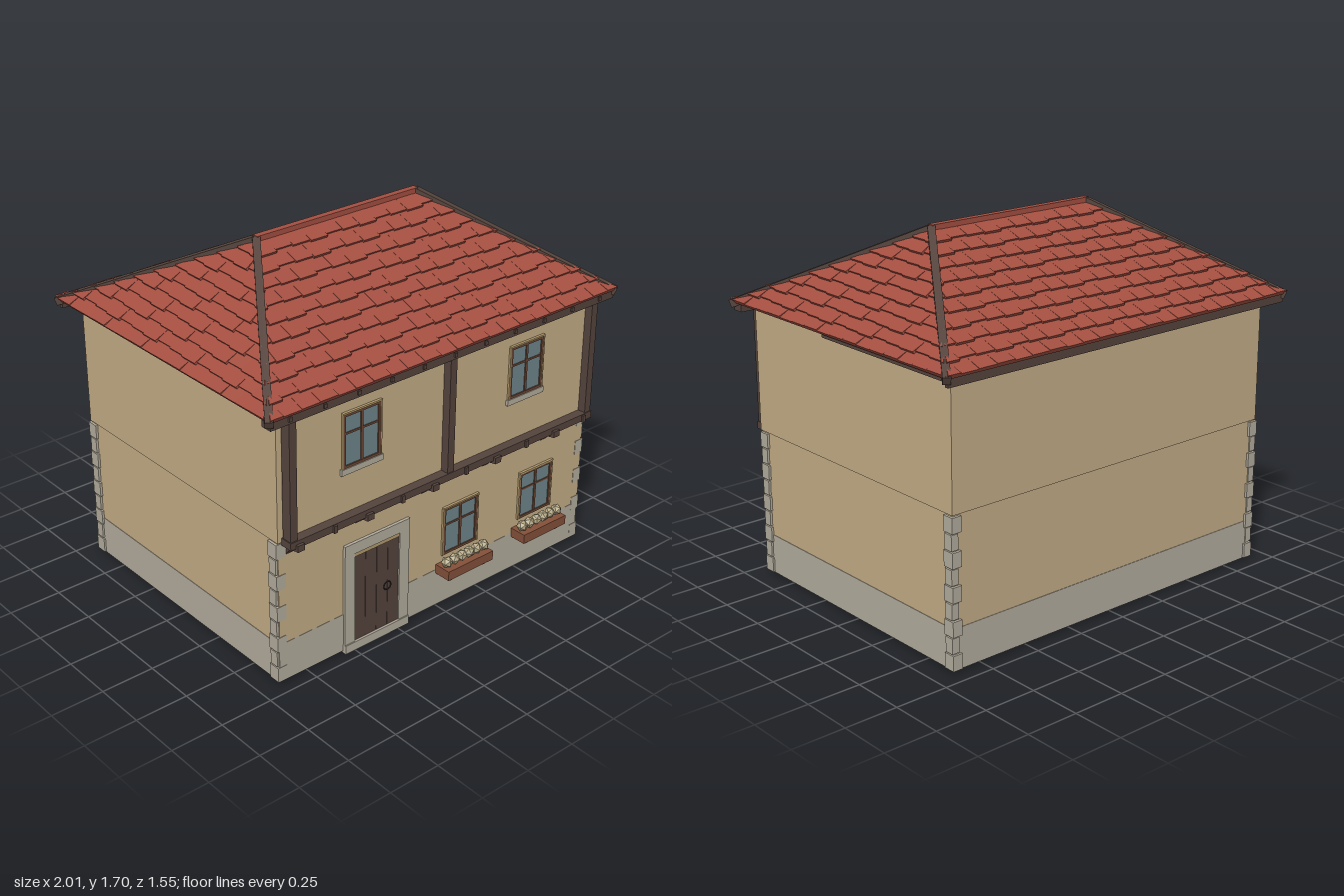
import * as THREE from 'three';
import { mergeGeometries } from 'three/addons/utils/BufferGeometryUtils.js';

const mat = (name, color) => {
  const m = new THREE.MeshStandardMaterial({ color });
  m.name = name;
  return m;
};

export function createModel() {
  const M = {
    plaster: mat('plaster', 0xc4ad86),
    stone: mat('stone', 0xb4ad9e),
    timber: mat('dark timber', 0x55443d),
    tile: mat('roof tile', 0xa44f41),
    glass: mat('window glass', 0x6f868d),
    frame: mat('window frame', 0x6a4633),
    trim: mat('pale trim', 0xb39a6c),
    planter: mat('planter wood', 0x84503a),
    flower: mat('flowers', 0xb9ad8a),
    iron: mat('iron', 0x2e2927),
  };
  const house = new THREE.Group();
  house.name = 'house';

  const mesh = (name, geo, m, parent = house) => {
    const o = new THREE.Mesh(geo, m);
    o.name = name;
    parent.add(o);
    return o;
  };
  // Box given by its limits on each axis
  const box = (name, m, x0, x1, y0, y1, z0, z1, parent = house) => {
    const o = mesh(name, new THREE.BoxGeometry(x1 - x0, y1 - y0, z1 - z0), m, parent);
    o.position.set((x0 + x1) / 2, (y0 + y1) / 2, (z0 + z1) / 2);
    return o;
  };
  const group = (name, x = 0, y = 0, z = 0) => {
    const g = new THREE.Group();
    g.name = name;
    g.position.set(x, y, z);
    house.add(g);
    return g;
  };

  // Walls
  const F = 0.69;
  box('foundation', M.stone, -0.86, 0.86, 0, 0.02, -0.63, 0.64);
  box('plinth', M.stone, -0.902, 0.902, 0.012, 0.2, -0.68, F + 0.001);
  box('lowerWall', M.plaster, -0.9, 0.9, 0.2, 0.7, -0.678, F);
  box('upperWall', M.plaster, -0.905, 0.905, 0.7, 1.305, -0.684, 0.695);
  box('upperFrontPanel', M.plaster, -0.87, 0.87, 0.7, 1.3, 0.69, 0.71);

  // Corner stones, alternately long and short
  for (const sx of [-1, 1]) for (const z of [0.664, -0.662]) {
    const corner = group('cornerStones', sx * 0.891, 0, z);
    for (let i = 0; i < 9; i++) {
      const w = i % 2 ? 0.018 : 0.024, y = 0.015 + i * 0.076;
      const s = box('cornerStone', M.stone, -w, w, y, y + 0.07, -w - 0.004, w + 0.004, corner);
      s.position.x = sx * (0.02 - w);
    }
  }

  // Jetty beam with joist ends and curved brackets
  box('jettyBeam', M.timber, -0.885, 0.885, 0.687, 0.722, 0.69, 0.755);
  const profile = new THREE.Shape();
  profile.moveTo(0.69, 0.63);
  profile.quadraticCurveTo(0.705, 0.67, 0.768, 0.675);
  profile.lineTo(0.768, 0.705);
  profile.lineTo(0.69, 0.705);
  const bracketGeo = new THREE.ExtrudeGeometry(profile, { depth: 0.036, bevelEnabled: false, curveSegments: 6 });
  bracketGeo.rotateY(-Math.PI / 2); // profile x becomes z
  for (let i = 0; i < 5; i++) {
    const x = -0.84 + i * 0.371;
    mesh('bracket', bracketGeo, M.timber).position.x = x + 0.018;
    box('joistEnd', M.timber, x + 0.177, x + 0.195, 0.684, 0.718, 0.75, 0.764);
  }
  for (const x of [-0.863, 0, 0.863]) box('post', M.timber, x - 0.018, x + 0.018, 0.72, 1.29, 0.7, 0.75);

  // Eaves boards
  box('soffit', M.timber, -0.96, 0.96, 1.298, 1.306, -0.745, 0.745);
  box('frontFascia', M.timber, -0.975, 0.975, 1.265, 1.303, 0.7, 0.755);
  box('backFascia', M.timber, -0.975, 0.975, 1.265, 1.303, -0.755, -0.735);
  box('sideFascia', M.timber, 0.95, 0.975, 1.285, 1.305, -0.75, 0.08);
  for (let i = 0; i < 11; i++) {
    const x = -0.88 + i * 0.176;
    box('rafterEnd', M.timber, x - 0.008, x + 0.008, 1.278, 1.296, 0.75, 0.762);
  }

  // Roof slopes: staggered tiles clipped to the hips, each thicker at its lower edge
  const eaveY = 1.306, ridgeY = 1.682;
  const slope = (name, halfEave, halfRidge, zEave, zRidge, turn) => {
    const pos = [], rows = 10, width = 0.092;
    const len = Math.hypot(ridgeY - eaveY, zEave - zRidge);
    const ny = (zEave - zRidge) / len, nz = (ridgeY - eaveY) / len;
    const half = (t) => THREE.MathUtils.lerp(halfEave, halfRidge, t);
    const point = (x, t, lift) => {
      const h = half(t);
      return [THREE.MathUtils.clamp(x, -h, h), THREE.MathUtils.lerp(eaveY, ridgeY, t) + ny * lift,
        THREE.MathUtils.lerp(zEave, zRidge, t) + nz * lift];
    };
    const quad = (a, b, c, d) => pos.push(...a, ...b, ...c, ...a, ...c, ...d);
    for (let r = 0; r < rows; r++) {
      const t1 = (r + 1) / rows, n = Math.ceil(half(r / rows) / width) + 1;
      for (let i = -n; i <= n; i++) {
        const x0 = (i - (r % 2) / 2) * width, x1 = x0 + width;
        const odd = (i * 7 + r * 5 + 700) % 3;
        const t0 = Math.max(0, (r - odd * 0.09) / rows), lift = 0.011 + odd * 0.003;
        if (x0 >= half(t0) || x1 <= -half(t0)) continue;
        const a = point(x0, t0, lift), b = point(x1, t0, lift);
        const c = point(x1, t1, 0.003), d = point(x0, t1, 0.003);
        const a0 = point(x0, t0, -0.004), b0 = point(x1, t0, -0.004);
        const c0 = point(x1, t1, -0.004), d0 = point(x0, t1, -0.004);
        quad(a, b, c, d);
        quad(a0, b0, b, a);
        quad(b0, c0, c, b);
        quad(d0, a0, a, d);
      }
    }
    const g = new THREE.BufferGeometry();
    g.setAttribute('position', new THREE.Float32BufferAttribute(pos, 3));
    g.rotateY(turn);
    g.computeVertexNormals();
    mesh(name, g, M.tile);
  };
  slope('frontRoof', 0.985, 0.45, 0.762, 0, 0);
  slope('backRoof', 0.985, 0.45, 0.762, 0, Math.PI);
  slope('leftRoof', 0.762, 0, 0.985, 0.45, Math.PI / 2);
  slope('rightRoof', 0.762, 0, 0.985, 0.45, -Math.PI / 2);
  box('ridgeCap', M.tile, -0.455, 0.455, 1.672, 1.703, -0.016, 0.016);

  // Hip boards from the eave corners to the ridge ends
  for (const sx of [-1, 1]) for (const sz of [-1, 1]) {
    const a = new THREE.Vector3(sx * 0.985, 1.297, sz * 0.76), b = new THREE.Vector3(sx * 0.45, 1.685, 0);
    const hip = mesh('hipBoard', new THREE.BoxGeometry(0.034, 0.036, a.distanceTo(b)), M.timber);
    hip.position.lerpVectors(a, b, 0.5);
    hip.lookAt(b);
  }

  // Windows, origin at bottom centre
  const makeWindow = (name, x, y, z, w, h) => {
    const g = group(name, x, y, z), s = w / 2, t = 0.012;
    box('glass', M.glass, -s, s, 0, h, -0.005, 0.002, g);
    for (const k of [-1, 1]) {
      box('frameSide', M.frame, k * (s - t / 2) - t / 2, k * (s - t / 2) + t / 2, 0, h, 0, 0.008, g);
      box('reveal', M.trim, k * (s + 0.003) - 0.003, k * (s + 0.003) + 0.003, 0, h, 0, 0.01, g);
    }
    for (const fy of [0, h - t]) box('frameRail', M.frame, -s, s, fy, fy + t, 0, 0.008, g);
    box('mullion', M.frame, -0.006, 0.006, 0, h, 0, 0.007, g);
    box('glazingBar', M.frame, -s, s, h * 0.62, h * 0.62 + 0.009, 0, 0.006, g);
    box('head', M.trim, -s - 0.005, s + 0.005, h, h + 0.008, 0, 0.012, g);
    return g;
  };
  for (const x of [-0.477, 0.474]) {
    const g = makeWindow('upperWindow', x, 0.935, 0.711, 0.2, 0.25);
    box('sill', M.stone, -0.112, 0.112, -0.028, 0, -0.005, 0.012, g);
  }

  // Lower windows with planters and flowers
  for (const x of [0.123, 0.598]) {
    makeWindow('lowerWindow', x, 0.265, F + 0.001, 0.205, 0.238);
    const p = group('planter', x, 0, 0);
    box('planterBox', M.planter, -0.137, 0.137, 0.182, 0.228, F, 0.775, p);
    for (const k of [-0.1, 0.1]) box('planterSupport', M.timber, k - 0.008, k + 0.008, 0.162, 0.183, F, 0.755, p);
    const blooms = [];
    for (let i = 0; i < 6; i++) {
      const b = new THREE.IcosahedronGeometry(0.027, 0);
      b.rotateY(i * 1.3);
      b.translate(-0.112 + i * 0.045, 0.252, 0.735);
      blooms.push(b);
    }
    mesh('flowers', mergeGeometries(blooms), M.flower, p);
  }

  // Door with stone surround, planks, lintel, ring and step
  const d = group('door', -0.371, 0, F);
  for (const k of [-1, 1]) box('surroundSide', M.stone, k * 0.155 - 0.028, k * 0.155 + 0.028, 0.02, 0.545, -0.01, 0.012, d);
  box('surroundTop', M.stone, -0.183, 0.183, 0.492, 0.545, -0.01, 0.014, d);
  box('doorLintel', M.trim, -0.127, 0.127, 0.473, 0.492, -0.01, 0.01, d);
  box('doorBack', M.iron, -0.127, 0.127, 0.04, 0.473, -0.01, 0.003, d);
  for (let i = 0; i < 4; i++) {
    const x = -0.126 + i * 0.0635;
    box('doorPlank', M.timber, x, x + 0.0615, 0.042, 0.473, 0, 0.006, d);
  }
  mesh('doorRing', new THREE.TorusGeometry(0.02, 0.003, 6, 16), M.iron, d).position.set(0.062, 0.248, 0.008);
  box('doorStep', M.stone, -0.183, 0.183, 0, 0.042, -0.05, 0.018, d);

  return house;
}
